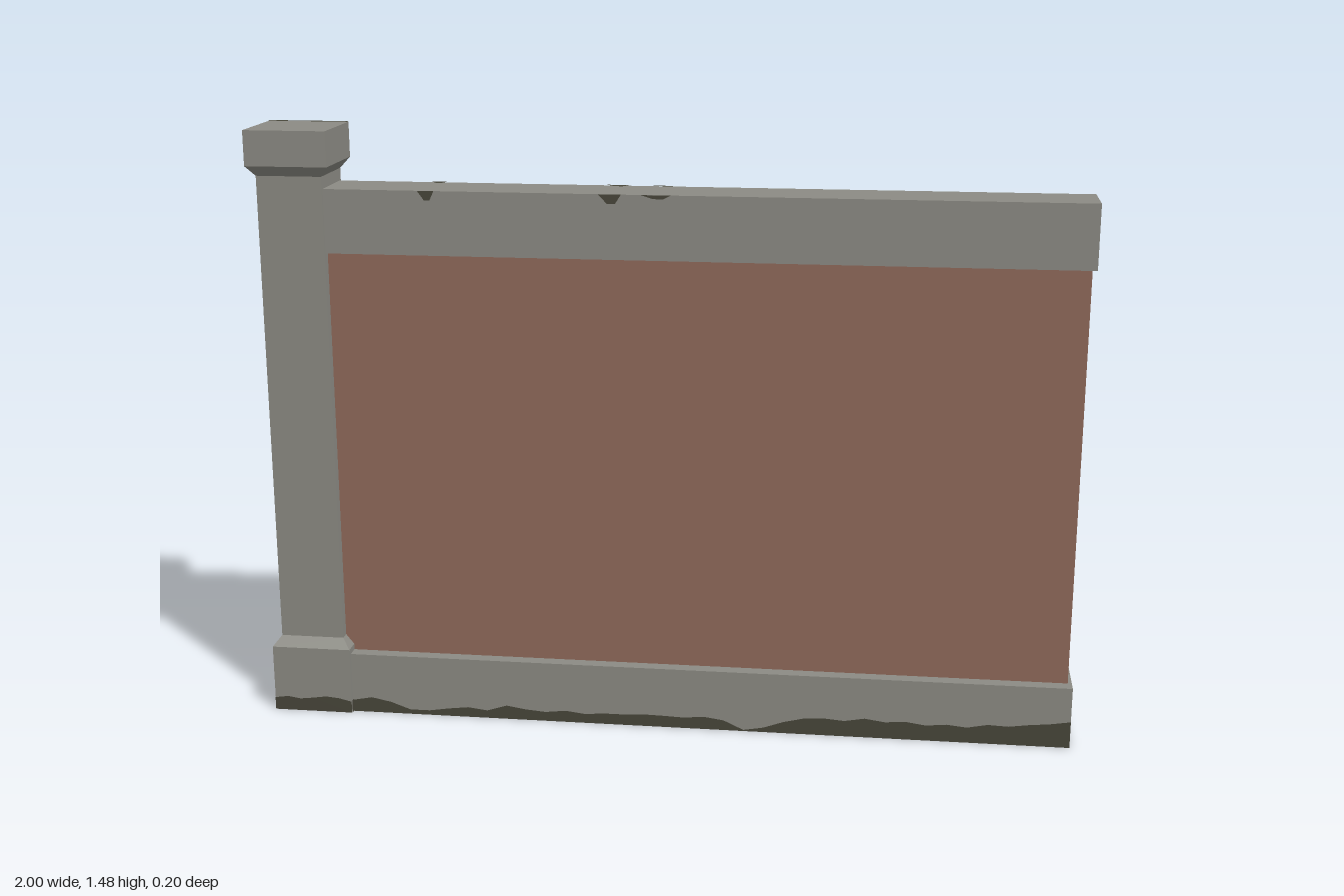
import * as THREE from 'three';

const stone = new THREE.MeshStandardMaterial({ color: 0x8c8b84 });
stone.name = 'stone grey';
const brick = new THREE.MeshStandardMaterial({ color: 0x906a5b });
brick.name = 'brick red';
const grime = new THREE.MeshStandardMaterial({ color: 0x48463a });
grime.name = 'dark grime';

const OFF = 0.0015; // lift of the painted stains
const PX = -0.9;    // pillar centre

export function createModel() {
  const model = new THREE.Group();
  model.name = 'wallSection';

  function add(parent, name, geo, mat) {
    const mesh = new THREE.Mesh(geo, mat);
    mesh.name = name;
    parent.add(mesh);
    return mesh;
  }

  // Box given by its x and y range and half depth
  function slab(parent, name, x0, x1, y0, y1, hz, mat) {
    const geo = new THREE.BoxGeometry(x1 - x0, y1 - y0, hz * 2);
    geo.translate((x0 + x1) / 2, (y0 + y1) / 2, 0);
    return add(parent, name, geo, mat);
  }

  // Four-sided sloping collar around the pillar
  function collar(parent, name, y0, y1, h0, h1) {
    const geo = new THREE.CylinderGeometry(h1 * Math.SQRT2, h0 * Math.SQRT2, y1 - y0, 4, 1, true)
      .rotateY(Math.PI / 4).toNonIndexed();
    geo.computeVertexNormals();
    geo.translate(PX, (y0 + y1) / 2, 0);
    add(parent, name, geo, stone);
  }

  // Ragged stain rising from the bottom edge of a face
  function stain(parent, name, width, heights, x, z, turn) {
    const shape = new THREE.Shape();
    const n = heights.length - 1;
    shape.moveTo(-width / 2, 0);
    heights.forEach((h, i) => shape.lineTo(-width / 2 + (width * i) / n, h));
    shape.lineTo(width / 2, 0);
    const mesh = add(parent, name, new THREE.ShapeGeometry(shape), grime);
    mesh.position.set(x, 0, z);
    mesh.rotation.y = turn;
  }

  const dirtyBottom = [stone, stone, stone, grime, stone, stone];

  // Wall: plinth, brick panel and coping
  const wall = new THREE.Group();
  wall.name = 'wall';
  model.add(wall);
  slab(wall, 'plinth', -0.82, 1, 0, 0.155, 0.088, dirtyBottom);
  slab(wall, 'brickPanel', -0.85, 0.99, 0.155, 1.18, 0.055, brick);
  slab(wall, 'coping', -0.85, 1, 1.18, 1.335, 0.072, stone);

  // Pillar: base, shaft and cap
  const pillar = new THREE.Group();
  pillar.name = 'pillar';
  model.add(pillar);
  slab(pillar, 'pillarBase', -1, -0.8, 0, 0.17, 0.1, dirtyBottom);
  collar(pillar, 'baseBevel', 0.17, 0.195, 0.1, 0.08);
  slab(pillar, 'shaft', -0.98, -0.82, 0.17, 1.39, 0.08, stone);
  collar(pillar, 'capFlare', 1.365, 1.39, 0.08, 0.1);
  slab(pillar, 'cap', -1, -0.8, 1.39, 1.475, 0.1, stone);

  // Grime along the foot of the plinth
  const long = [
    0.03, 0.04, 0.03, 0.012, 0.012, 0.02, 0.026, 0.02, 0.036, 0.028, 0.024, 0.03, 0.024,
    0.028, 0.028, 0.031, 0.03, 0.028, 0.033, 0.026, 0.003, 0.012, 0.03, 0.042, 0.045, 0.041,
    0.05, 0.043, 0.047, 0.04, 0.045, 0.04, 0.05, 0.048, 0.055, 0.06, 0.068];
  const end = [0.035, 0.02, 0.018, 0.022, 0.035, 0.03, 0.035];
  stain(wall, 'plinthStainFront', 1.8, long, 0.1, 0.088 + OFF, 0);
  stain(wall, 'plinthStainBack', 1.8, [...long].reverse(), 0.1, -0.088 - OFF, Math.PI);
  stain(wall, 'plinthStainEnd', 0.176, end, 1 + OFF, 0, Math.PI / 2);

  // Grime around the pillar base
  const short = [0.032, 0.037, 0.032, 0.036, 0.041, 0.038, 0.03];
  for (let i = 0; i < 4; i++) {
    const a = (i * Math.PI) / 2;
    const r = 0.1 + OFF;
    stain(pillar, 'pillarStain', 0.2, short, PX + Math.sin(a) * r, Math.cos(a) * r, a);
  }

  // Small dark chips on the coping's front and top: x, width, depth
  for (const [x, w, d] of [[-0.57, 0.04, 0.022], [-0.13, 0.055, 0.022], [-0.02, 0.07, 0.009]]) {
    const chip = new THREE.Shape();
    chip.moveTo(-w / 2, 0);
    chip.lineTo(-w * 0.1, -d);
    chip.lineTo(w * 0.25, -d);
    chip.lineTo(w / 2, 0);
    const geo = new THREE.ShapeGeometry(chip);
    add(wall, 'copingChipFront', geo, grime).position.set(x, 1.335, 0.072 + OFF);
    const top = add(wall, 'copingChipTop', geo, grime);
    top.position.set(x, 1.335 + OFF, -0.072);
    top.rotation.x = -Math.PI / 2;
    top.position.z = -0.072;
  }

  // Thin dark edge at the back of the cap
  const edge = add(pillar, 'capEdgeStain', new THREE.PlaneGeometry(0.2, 0.014), grime);
  edge.rotation.x = -Math.PI / 2;
  edge.position.set(PX, 1.475 + OFF, -0.093);

  return model;
}
